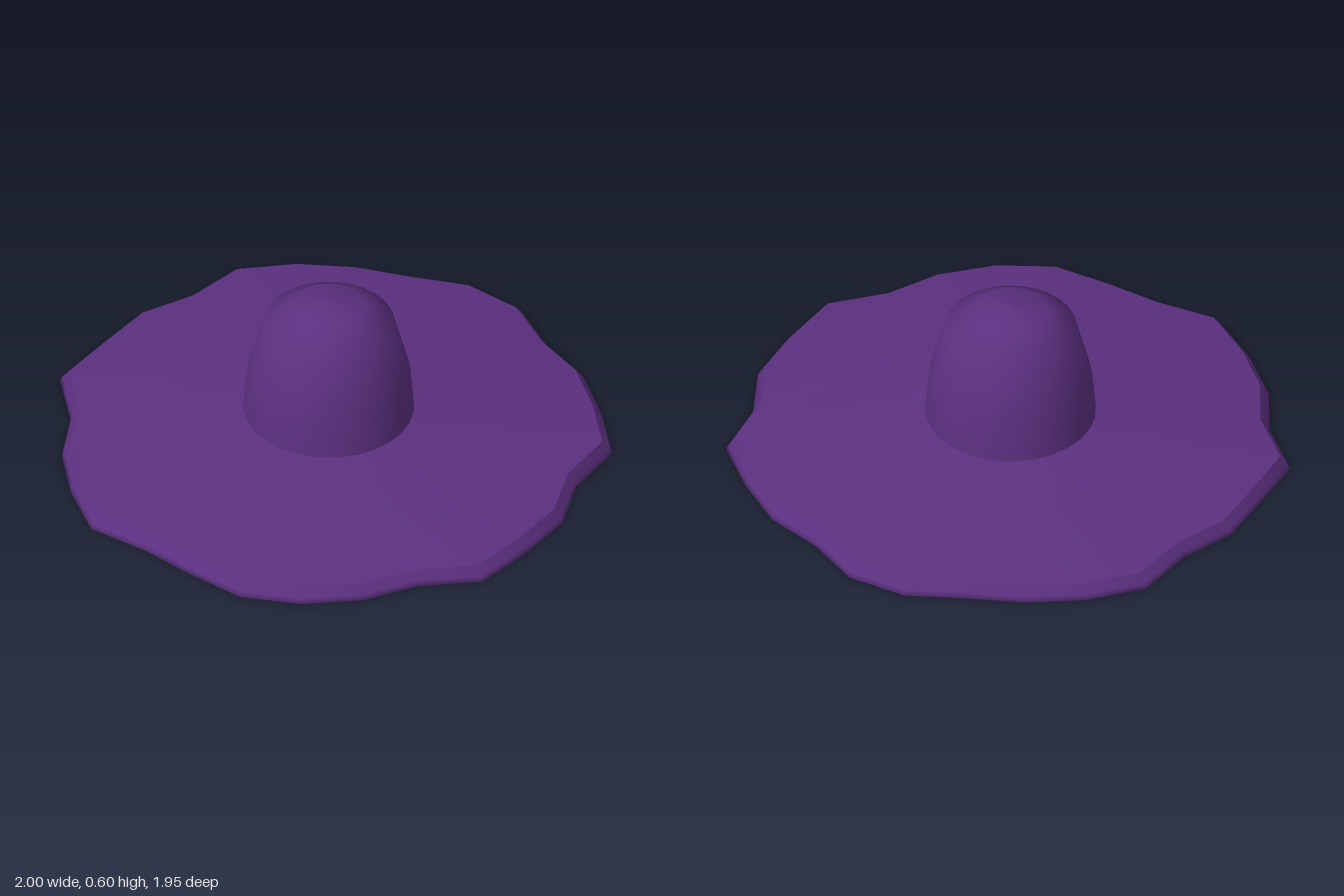
import * as THREE from 'three';
import { mergeVertices } from 'three/addons/utils/BufferGeometryUtils.js';

// Uneven brim edge: radius at each step round the hat, from +z towards +x
const EDGE = [
  0.99, 0.985, 0.966, 0.932, 1.01, 0.98, 0.975, 0.93, 1.014, 0.98,
  0.968, 0.932, 0.988, 0.985, 0.94, 0.953, 0.975, 0.996, 0.925, 0.962,
  0.963, 1.01, 0.924, 0.957, 0.975, 1.004, 0.935, 0.944,
];
const SIDES = EDGE.length;

const lathe = (profile) =>
  new THREE.LatheGeometry(profile.map(([r, y]) => new THREE.Vector2(r, y)), SIDES);

// Lathe whose outer rings follow the uneven edge, fading to round near the crown
function wavyLathe(profile) {
  let geometry = lathe(profile);
  const pos = geometry.attributes.position;
  for (let i = 0; i < pos.count; i++) {
    const step = Math.floor(i / profile.length) % SIDES;
    const r = profile[i % profile.length][0];
    const fade = THREE.MathUtils.clamp((r - 0.42) / 0.5, 0, 1);
    const s = THREE.MathUtils.lerp(1, EDGE[step], fade);
    pos.setX(i, pos.getX(i) * s);
    pos.setZ(i, pos.getZ(i) * s);
  }
  // Weld the seam so the shading is smooth all round
  geometry.deleteAttribute('uv');
  geometry.deleteAttribute('normal');
  geometry = mergeVertices(geometry, 1e-4);
  geometry.computeVertexNormals();
  return geometry;
}

export function createModel() {
  const purple = new THREE.MeshStandardMaterial({ name: 'purple felt', color: 0x5c3080 });
  const grey = new THREE.MeshStandardMaterial({ name: 'pale grey lining', color: 0xc4c2cc });

  const hat = new THREE.Group();
  hat.name = 'wideBrimHat';
  const add = (name, geometry, material) => {
    const mesh = new THREE.Mesh(geometry, material);
    mesh.name = name;
    hat.add(mesh);
  };

  // Crown, and the lining just inside it
  const crown = [[0.305, 0.13], [0.29, 0.3], [0.235, 0.51], [0.13, 0.58], [0, 0.6]];
  add('crown', lathe(crown), purple);
  const lining = crown.map(([r, y]) => [Math.max(r - 0.005, 0), y - 0.005]).reverse();
  add('crownLining', lathe(lining), grey);
  add('headOpening', lathe([[0.3, 0.125], [0.305, 0.08]]), grey);

  // Brim: sloping top, bevelled rim, hollow underside
  add('brimTop', wavyLathe([[0.965, 0.05], [0.62, 0.094], [0.5, 0.103], [0.3, 0.136]]), purple);
  add('brimRim', wavyLathe([[0.985, 0.002], [1, 0], [0.99, 0.018], [0.965, 0.05]]), purple);
  add('brimUnderside', wavyLathe([[0.415, 0.08], [0.65, 0.05], [0.985, 0.002]]), purple);

  // Flat band round the opening
  add('sweatband', lathe([[0.305, 0.08], [0.415, 0.08]]), grey);

  hat.position.set(0.01, 0, -0.01);
  hat.children.forEach((part) => { part.position.z = -0.01; });

  const model = new THREE.Group();
  model.name = 'hat';
  model.add(hat);
  return model;
}
